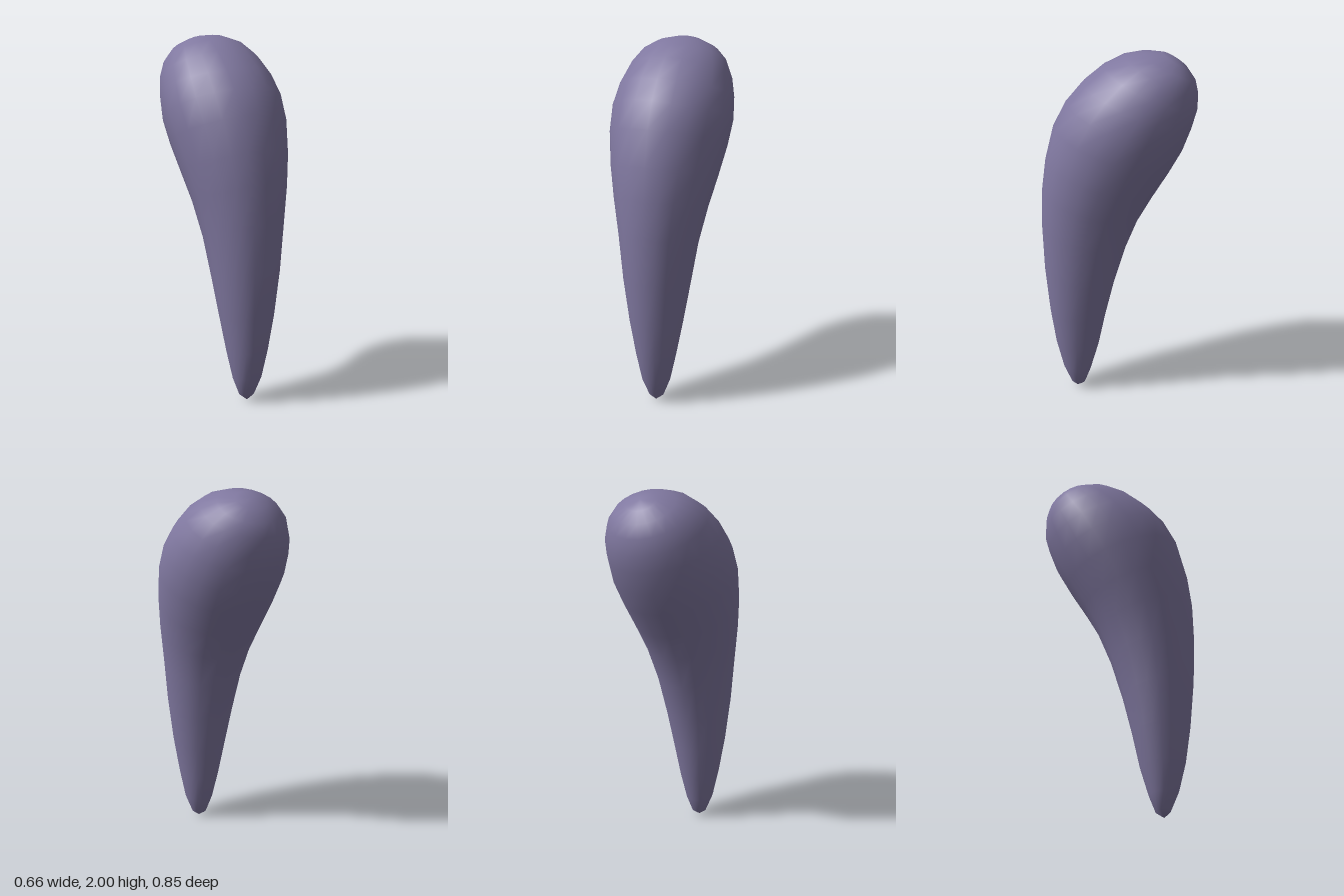
import * as THREE from 'three';

// Rings along the bent axis: front z, front y, back z, back y, half width
const RINGS = [
  [0.275, 0.035, 0.195, 0.03, 0.042],
  [0.32, 0.14, 0.16, 0.12, 0.08],
  [0.36, 0.3, 0.115, 0.275, 0.112],
  [0.39, 0.5, 0.075, 0.465, 0.148],
  [0.415, 0.76, 0.025, 0.67, 0.184],
  [0.425, 1.02, -0.04, 0.885, 0.216],
  [0.42, 1.23, -0.115, 1.07, 0.255],
  [0.397, 1.41, -0.195, 1.21, 0.29],
  [0.35, 1.6, -0.285, 1.355, 0.32],
  [0.28, 1.735, -0.355, 1.48, 0.33],
  [0.195, 1.835, -0.4, 1.6, 0.314],
  [0.085, 1.925, -0.425, 1.69, 0.283],
  [-0.025, 1.98, -0.425, 1.78, 0.238],
  [-0.13, 2.0, -0.41, 1.85, 0.175],
  [-0.23, 1.995, -0.365, 1.915, 0.09],
];
const SIDES = 20;

// Skin of elliptical rings, closed by a single point at each end
function loft(rings, start, end) {
  const positions = [];
  const index = [];
  for (const [fz, fy, bz, by, w] of rings) {
    for (let j = 0; j < SIDES; j++) {
      const a = (j / SIDES) * Math.PI * 2;
      const t = (1 - Math.cos(a)) / 2;
      positions.push(w * Math.sin(a), fy + (by - fy) * t, fz + (bz - fz) * t);
    }
  }
  const first = rings.length * SIDES;
  const last = (rings.length - 1) * SIDES;
  positions.push(...start, ...end);
  for (let j = 0; j < SIDES; j++) {
    const k = (j + 1) % SIDES;
    for (let i = 0; i < last; i += SIDES) {
      index.push(i + j, i + k, i + SIDES + k, i + j, i + SIDES + k, i + SIDES + j);
    }
    index.push(first, k, j, first + 1, last + j, last + k);
  }
  const geometry = new THREE.BufferGeometry();
  geometry.setAttribute('position', new THREE.Float32BufferAttribute(positions, 3));
  geometry.setIndex(index);
  geometry.computeVertexNormals();
  return geometry;
}

export function createModel() {
  const group = new THREE.Group();
  group.name = 'curvedTeardrop';
  const material = new THREE.MeshStandardMaterial({ color: 0x8078a0 });

  // Tapered body, from the pointed foot to the round leaning head
  const body = new THREE.Mesh(loft(RINGS, [0, 0, 0.24], [0, 1.968, -0.305]), material);
  body.name = 'body';
  group.add(body);
  return group;
}
